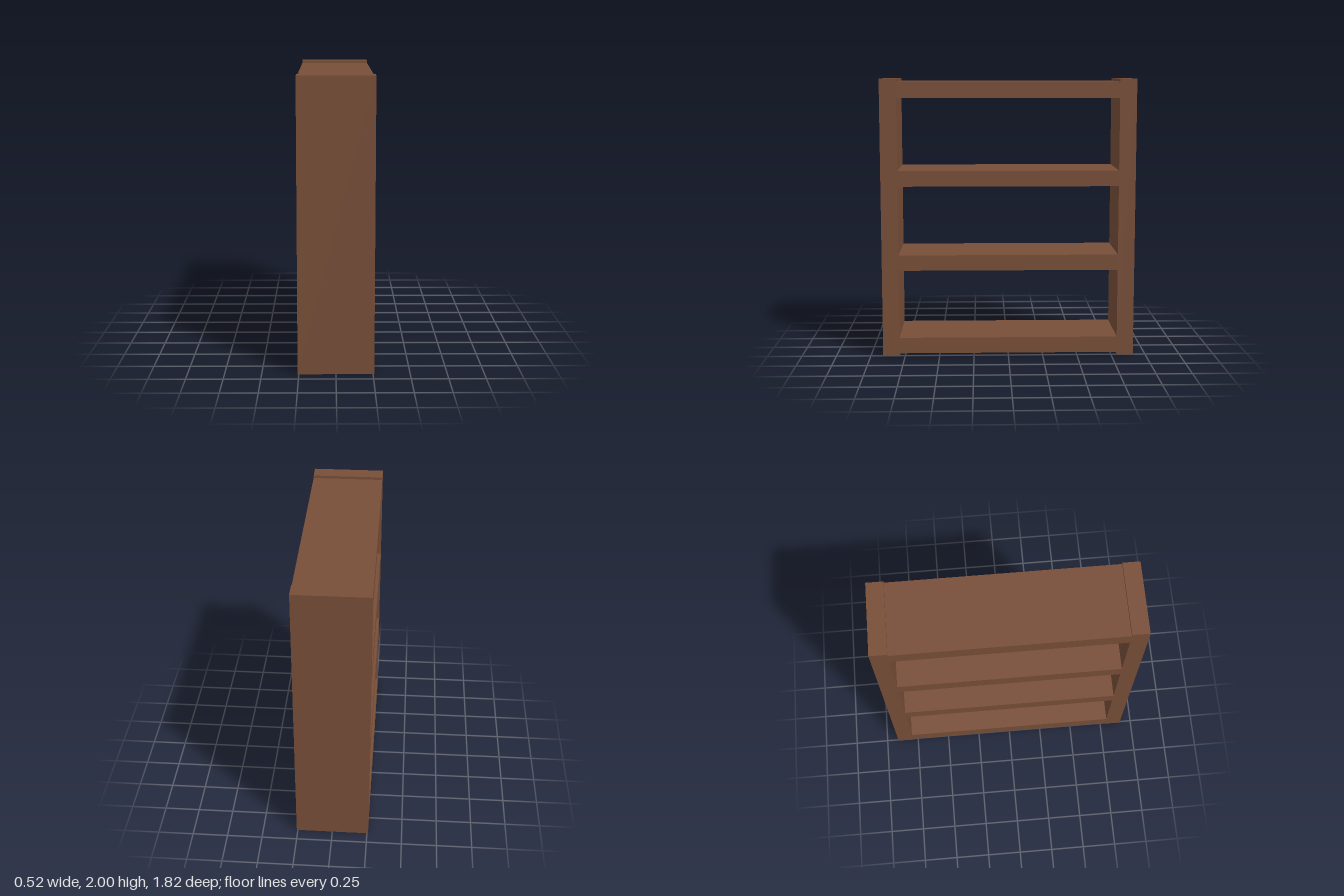
import * as THREE from 'three';

const WIDTH = 0.516;      // extent along x
const HALF_LENGTH = 0.91; // outer face of the side panels along z
const PANEL = 0.12;       // side panel thickness

export function createModel() {
  const shelving = new THREE.Group();
  shelving.name = 'shelvingUnit';
  const wood = new THREE.MeshStandardMaterial({ color: 0x784e38 });

  const addBoard = (name, height, length, y, z) => {
    const board = new THREE.Mesh(new THREE.BoxGeometry(WIDTH, height, length), wood);
    board.name = name;
    board.position.set(0, y, z);
    shelving.add(board);
  };

  // Upright end panels
  for (const side of [1, -1]) {
    addBoard(side > 0 ? 'frontPanel' : 'backPanel', 2, PANEL, 1, side * (HALF_LENGTH - PANEL / 2));
  }

  // Horizontal boards spanning between the panels: [name, bottom, top]
  const boards = [
    ['bottomShelf', 0.02, 0.135],
    ['lowerShelf', 0.63, 0.742],
    ['upperShelf', 1.238, 1.35],
    ['topShelf', 1.865, 1.98],
  ];
  for (const [name, bottom, top] of boards) {
    addBoard(name, top - bottom, 2 * (HALF_LENGTH - PANEL), (bottom + top) / 2, 0);
  }

  return shelving;
}
